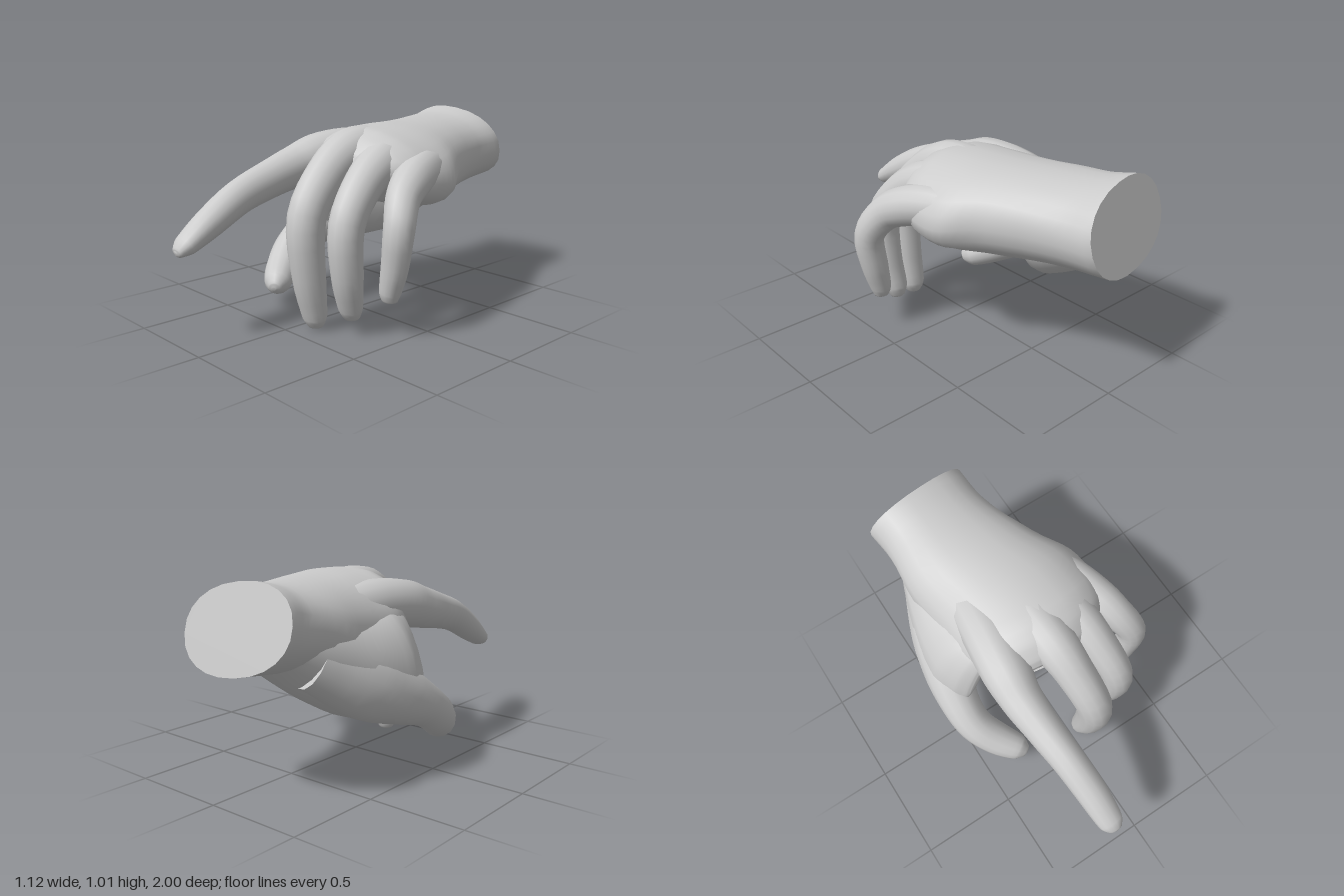
import * as THREE from 'three';

const material = new THREE.MeshStandardMaterial({ color: 0xcccccc });

// Skin through stations [x, y, z, halfWidth, halfDepth, roll], closed at both ends.
// upright keeps every ring facing +z; power < 1 squares the ring; warp reshapes points.
function loft(name, stations, { sides = 14, steps = 4, upright = false, power = 1, warp } = {}) {
  const path = new THREE.CatmullRomCurve3(stations.map(s => new THREE.Vector3(s[0], s[1], s[2])));
  const size = new THREE.CatmullRomCurve3(
    stations.map(s => new THREE.Vector3(s[3], s[4], s[5] || 0)), false, 'catmullrom', 0.4);
  const rows = (stations.length - 1) * steps;
  const positions = [], index = [];
  const soften = v => Math.sign(v) * Math.abs(v) ** power;

  for (let i = 0; i <= rows; i++) {
    const u = i / rows;
    const center = path.getPoint(u), r = size.getPoint(u);
    const t = upright ? new THREE.Vector3(0, 0, 1) : path.getTangent(u);
    const side = new THREE.Vector3(1, 0, 0).addScaledVector(t, -t.x).normalize();
    const up = new THREE.Vector3().crossVectors(t, side);
    side.applyAxisAngle(t, r.z);
    up.applyAxisAngle(t, r.z);
    for (let j = 0; j < sides; j++) {
      const a = (j / sides) * Math.PI * 2;
      const p = center.clone()
        .addScaledVector(side, r.x * soften(Math.cos(a)))
        .addScaledVector(up, r.y * soften(Math.sin(a)));
      if (warp) warp(p);
      positions.push(p.x, p.y, p.z);
    }
  }
  for (let i = 0; i < rows; i++) {
    for (let j = 0; j < sides; j++) {
      const a = i * sides + j, b = i * sides + (j + 1) % sides;
      index.push(a, b, a + sides, b, b + sides, a + sides);
    }
  }
  // The first cap has its own corners for a crisp rim; the far end is smooth
  const first = positions.length / 3, last = rows * sides;
  positions.push(...positions.slice(0, sides * 3));
  for (let j = 1; j < sides - 1; j++) {
    index.push(first, first + j + 1, first + j, last, last + j, last + j + 1);
  }
  const geometry = new THREE.BufferGeometry();
  geometry.setAttribute('position', new THREE.Float32BufferAttribute(positions, 3));
  geometry.setIndex(index);
  geometry.computeVertexNormals();
  const mesh = new THREE.Mesh(geometry, material);
  mesh.name = name;
  return mesh;
}

// Arches the knuckle end of the palm and slants the cut at the wrist
function shapePalm(p) {
  const knuckle = THREE.MathUtils.smoothstep(p.z, -0.7, 0);
  const wrist = 1 - THREE.MathUtils.smoothstep(p.z, -0.94, -0.6);
  const dx = p.x - 0.04;
  p.y -= 0.45 * knuckle * dx * dx;
  p.z -= 0.7 * knuckle * dx * dx;
  p.z += wrist * (0.27 * (p.y - 0.81) - 0.12 * (p.x + 0.12));
}

export function createModel() {
  const hand = new THREE.Group();
  hand.name = 'hand';

  // Wrist, back of the hand and palm
  hand.add(loft('palm', [
    [-0.12, 0.81, -0.935, 0.29, 0.2, -0.15],
    [-0.10, 0.785, -0.75, 0.29, 0.2, -0.1],
    [-0.05, 0.76, -0.45, 0.355, 0.22],
    [0.02, 0.77, -0.2, 0.4, 0.215],
    [0.04, 0.795, 0.0, 0.4, 0.185],
    [0.04, 0.82, 0.1, 0.36, 0.125],
    [0.03, 0.82, 0.17, 0.27, 0.06],
    [0.03, 0.81, 0.19, 0.2, 0.02],
  ], { sides: 24, upright: true, power: 0.9, warp: shapePalm }));

  // Fleshy pad and web between thumb and index finger
  hand.add(loft('thumbPad', [
    [-0.13, 0.74, -0.82, 0.18, 0.12, -0.3],
    [-0.19, 0.65, -0.6, 0.22, 0.215, -0.4],
    [-0.25, 0.57, -0.38, 0.23, 0.26, -0.45],
    [-0.33, 0.56, -0.17, 0.165, 0.28, -0.42],
    [-0.355, 0.58, -0.05, 0.085, 0.25, -0.38],
    [-0.355, 0.6, 0.0, 0.03, 0.19, -0.36],
    [-0.35, 0.61, 0.01, 0.01, 0.13, -0.36],
  ], { sides: 18, upright: true }));

  // Each digit starts inside the hand, so its bone carries on to the knuckle
  const digits = {
    thumb: [
      [-0.26, 0.65, -0.62, 0.13, 0.15],
      [-0.36, 0.5, -0.36, 0.15, 0.18],
      [-0.425, 0.41, -0.17, 0.13, 0.145],
      [-0.455, 0.335, -0.02, 0.105, 0.11],
      [-0.445, 0.255, 0.1, 0.095, 0.1],
      [-0.385, 0.185, 0.21, 0.09, 0.088],
      [-0.31, 0.135, 0.305, 0.072, 0.072],
      [-0.28, 0.118, 0.345, 0.035, 0.035],
      [-0.275, 0.115, 0.352, 0.01, 0.01],
    ],
    indexFinger: [
      [-0.17, 0.8, -0.4, 0.12, 0.12],
      [-0.2, 0.82, -0.1, 0.13, 0.125],
      [-0.225, 0.8, 0.1, 0.125, 0.125],
      [-0.235, 0.765, 0.24, 0.107, 0.11],
      [-0.222, 0.72, 0.42, 0.092, 0.097],
      [-0.2, 0.665, 0.61, 0.083, 0.088],
      [-0.18, 0.575, 0.79, 0.079, 0.075],
      [-0.17, 0.487, 0.94, 0.066, 0.05],
      [-0.167, 0.46, 0.985, 0.035, 0.025],
      [-0.167, 0.457, 0.993, 0.01, 0.01],
    ],
    middleFinger: [
      [0.02, 0.82, -0.4, 0.11, 0.11],
      [0.025, 0.868, -0.05, 0.12, 0.115],
      [0.035, 0.85, 0.12, 0.115, 0.115],
      [0.055, 0.765, 0.265, 0.1, 0.107],
      [0.083, 0.58, 0.418, 0.092, 0.1],
      [0.09, 0.28, 0.415, 0.082, 0.085],
      [0.083, 0.065, 0.375, 0.066, 0.06],
      [0.083, 0.015, 0.37, 0.04, 0.035],
      [0.083, 0.005, 0.37, 0.012, 0.012],
    ],
    ringFinger: [
      [0.13, 0.8, -0.4, 0.1, 0.1],
      [0.18, 0.838, -0.08, 0.115, 0.11],
      [0.215, 0.805, 0.07, 0.108, 0.11],
      [0.245, 0.73, 0.2, 0.095, 0.1],
      [0.28, 0.56, 0.338, 0.085, 0.092],
      [0.28, 0.31, 0.335, 0.078, 0.08],
      [0.26, 0.135, 0.295, 0.063, 0.06],
      [0.258, 0.083, 0.285, 0.04, 0.036],
      [0.258, 0.072, 0.284, 0.012, 0.012],
    ],
    littleFinger: [
      [0.22, 0.76, -0.42, 0.09, 0.1],
      [0.325, 0.775, -0.14, 0.1, 0.105],
      [0.39, 0.74, 0.02, 0.096, 0.1],
      [0.435, 0.68, 0.12, 0.085, 0.088],
      [0.483, 0.555, 0.193, 0.077, 0.077],
      [0.46, 0.37, 0.195, 0.07, 0.067],
      [0.43, 0.235, 0.195, 0.055, 0.054],
      [0.428, 0.19, 0.195, 0.038, 0.036],
      [0.428, 0.181, 0.195, 0.012, 0.012],
    ],
  };
  for (const [name, stations] of Object.entries(digits)) hand.add(loft(name, stations));

  return hand;
}
